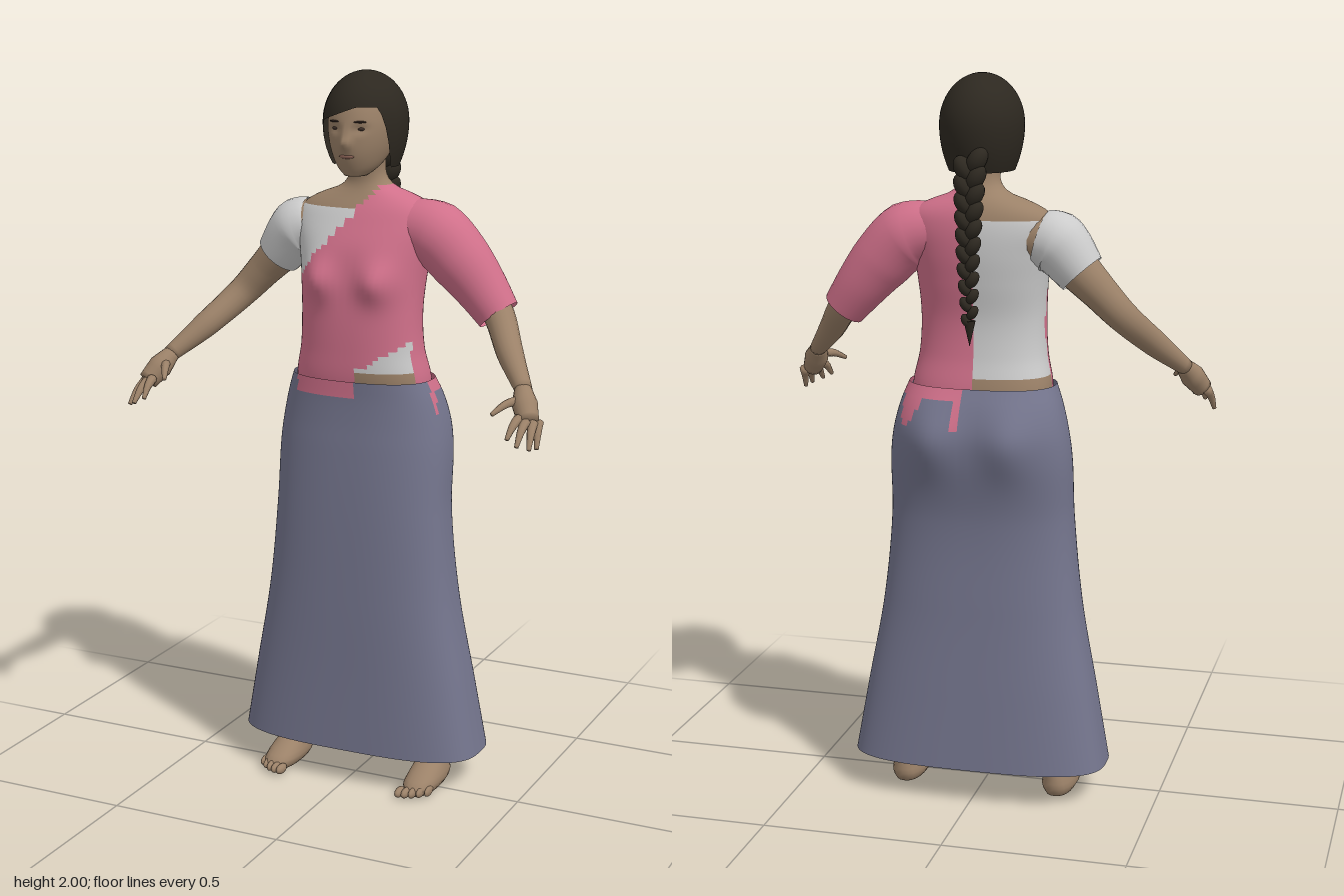
import * as THREE from 'three';

const V = (x, y, z) => new THREE.Vector3(x, y, z);
const mat = (color) => new THREE.MeshStandardMaterial({ color, side: THREE.DoubleSide });
const bell = (...d) => Math.exp(-d.reduce((s, v) => s + v * v, 0));

export function createModel() {
  const model = new THREE.Group();
  const skin = mat(0x9b8168), pink = mat(0xd0708a), pale = mat(0xcccccc);
  const cloth = mat(0x74758d), hairMat = mat(0x2d2820), dark = mat(0x3a2c26), lip = mat(0x8a6255);

  const add = (name, geo, material, parent = model) => {
    const mesh = new THREE.Mesh(geo, material);
    mesh.name = name;
    parent.add(mesh);
    return mesh;
  };
  const group = (name, parent = model) => {
    const g = new THREE.Group();
    g.name = name;
    parent.add(g);
    return g;
  };
  const ball = (name, p, sx, sy, sz, material, parent) => {
    const mesh = add(name, new THREE.SphereGeometry(1, 14, 10), material, parent);
    mesh.position.copy(p);
    mesh.scale.set(sx, sy, sz);
    return mesh;
  };

  // Skin closed rings into one smooth surface; pick(centre) sorts the quads by material
  const surface = (name, rings, pick, names = {}, cap = false, parent = model) => {
    if (cap) {
      const mid = (r) => r.map(() => r.reduce((s, p) => s.add(p), V(0, 0, 0)).divideScalar(r.length));
      rings = [mid(rings[0]), ...rings, mid(rings[rings.length - 1])];
    }
    const n = rings[0].length, all = [], sets = new Map();
    for (let j = 0; j < rings.length - 1; j++) for (let i = 0; i < n; i++) {
      const k = (i + 1) % n, a = j * n + i, b = j * n + k, c = a + n, d = b + n;
      const centre = V(0, 0, 0);
      [rings[j][i], rings[j][k], rings[j + 1][i], rings[j + 1][k]].forEach((p) => centre.addScaledVector(p, 0.25));
      const m = typeof pick === 'function' ? pick(centre) : pick;
      if (!sets.has(m)) sets.set(m, []);
      sets.get(m).push(a, b, d, a, d, c);
      all.push(a, b, d, a, d, c);
    }
    const geo = new THREE.BufferGeometry().setFromPoints(rings.flat());
    geo.setIndex(all);
    geo.computeVertexNormals();
    for (const [m, index] of sets) {
      const part = new THREE.BufferGeometry();
      part.setAttribute('position', geo.attributes.position);
      part.setAttribute('normal', geo.attributes.normal);
      part.setIndex(index);
      add(names[m.uuid] || name, part, m, parent);
    }
  };

  // Rings through rows of [y, half width, front z, back z, roundness, centre x]
  const loft = (rows, steps, sides, warp = (p) => p) => {
    const curve = new THREE.CubicInterpolant(rows.map((r) => r[0]), rows.flatMap((r) => r.slice(1)), 5);
    const y0 = rows[0][0], y1 = rows[rows.length - 1][0];
    return Array.from({ length: steps + 1 }, (_, j) => {
      const y = y0 + (y1 - y0) * j / steps;
      const [w, f, b, e, cx] = curve.evaluate(Math.min(y, y1 - 1e-6));
      return Array.from({ length: sides }, (_, i) => {
        const a = i / sides * Math.PI * 2, s = Math.sin(a), c = Math.cos(a);
        const pw = (v) => Math.sign(v) * Math.abs(v) ** (2 / e);
        return warp(V(cx + w * pw(s), y, (f + b) / 2 + (f - b) / 2 * pw(c)));
      });
    });
  };

  // Tapered tube through points [x, y, z, radius]
  const limb = (pts, side, steps = 24, sides = 18) => {
    const curve = new THREE.CatmullRomCurve3(pts.map((p) => V(p[0] * side, p[1], p[2])));
    const frames = curve.computeFrenetFrames(steps);
    return Array.from({ length: steps + 1 }, (_, j) => {
      const t = curve.getUtoTmapping(j / steps) * (pts.length - 1);
      const k = Math.min(Math.floor(t), pts.length - 2);
      const r = THREE.MathUtils.lerp(pts[k][3], pts[k + 1][3], t - k), o = curve.getPointAt(j / steps);
      return Array.from({ length: sides }, (_, i) => {
        const a = i / sides * Math.PI * 2;
        return o.clone().addScaledVector(frames.normals[j], r * Math.cos(a))
          .addScaledVector(frames.binormals[j], r * Math.sin(a));
      });
    });
  };

  // Long skirt, with the draped cloth's ragged end lying over the hip
  const skirtRows = [
    [0.1, 0.36, 0.093, -0.228, 3, 0], [0.3, 0.325, 0.09, -0.215, 2.8, 0], [0.55, 0.28, 0.088, -0.2, 2.6, 0],
    [0.8, 0.255, 0.083, -0.195, 2.5, 0], [0.98, 0.25, 0.075, -0.222, 2.4, 0], [1.05, 0.24, 0.07, -0.222, 2.4, 0],
    [1.12, 0.222, 0.068, -0.203, 2.4, 0], [1.17, 0.203, 0.07, -0.18, 2.4, 0]];
  surface('skirt', loft(skirtRows, 70, 80, (p) => {
    if (p.z < -0.07) p.z -= 0.028 * bell((Math.abs(p.x) - 0.11) / 0.07, (p.y - 1.03) / 0.09);
    return p;
  }), (p) => {
    const a = Math.atan2(p.x, p.z);
    if (p.x > 0.02 && p.z < -0.03 && p.y > 1.145 - 0.09 * Math.max(0, Math.sin(a * 9 - 0.6))) return pink;
    return p.z > 0 && p.x > -0.16 && p.x < 0.03 && p.y > 1.125 ? pink : cloth;
  }, { [pink.uuid]: 'drapeEnd' });

  // Torso and neck: blouse under a diagonal drape, with bare shoulder and waist
  const torsoRows = [
    [1.1, 0.19, 0.05, -0.18, 2.4, 0], [1.17, 0.192, 0.066, -0.175, 2.4, 0], [1.25, 0.177, 0.07, -0.16, 2.3, 0],
    [1.35, 0.172, 0.07, -0.155, 2.3, 0], [1.45, 0.178, 0.062, -0.17, 2.3, 0], [1.53, 0.19, 0.05, -0.18, 2.3, 0],
    [1.6, 0.205, 0.02, -0.18, 2.2, 0], [1.64, 0.185, 0, -0.172, 2.2, 0], [1.665, 0.14, -0.015, -0.16, 2.1, 0],
    [1.685, 0.085, -0.025, -0.145, 2, 0], [1.705, 0.06, -0.03, -0.13, 2, 0], [1.78, 0.052, -0.015, -0.12, 2, 0]];
  surface('torsoSkin', loft(torsoRows, 56, 64, (p) => {
    if (p.z > -0.02) p.z += 0.035 * bell((Math.abs(p.x) - 0.088) / 0.05, (p.y - 1.445) / 0.055);
    return p;
  }), ({ x, y, z }) => {
    if (y > 1.695) return skin;
    if (z < -0.05) {
      if (x > 0.01) return pink;
      return y > 1.625 || y < 1.2 ? skin : pale;
    }
    if (z > 0 && x > 0.03 && y < 1.29) {
      if (y < 1.2) return skin;
      if (y < 1.2 + (x - 0.03) * 0.6) return pale;
    }
    if (y < 1.43 || x > -0.17 + (y - 1.43) * 0.85) return pink;
    return y > 1.63 ? skin : pale;
  }, { [pink.uuid]: 'drape', [pale.uuid]: 'blouse' });

  // Arms, hands, legs and feet on both sides
  const armPts = [
    [0.12, 1.575, -0.085, 0.068], [0.2, 1.56, -0.085, 0.077], [0.27, 1.49, -0.09, 0.058], [0.33, 1.43, -0.09, 0.049],
    [0.385, 1.37, -0.075, 0.043], [0.46, 1.28, 0.02, 0.036], [0.53, 1.205, 0.1, 0.023]];
  const fingers = {
    littleFinger: [[0.587, 1.135, 0.14], [0.6, 1.075, 0.187]], ringFinger: [[0.578, 1.135, 0.158], [0.592, 1.08, 0.222]],
    middleFinger: [[0.563, 1.14, 0.172], [0.566, 1.09, 0.243]], indexFinger: [[0.546, 1.148, 0.175], [0.537, 1.105, 0.237]],
    thumb: [[0.53, 1.185, 0.125], [0.485, 1.16, 0.212]] };
  const legRows = [
    [0, 0.04, 0.095, -0.11, 2.4, 0.22], [0.02, 0.05, 0.105, -0.122, 2.4, 0.22], [0.045, 0.045, 0.07, -0.122, 2.2, 0.22],
    [0.075, 0.036, 0, -0.118, 2, 0.217], [0.11, 0.031, -0.04, -0.115, 2, 0.213], [0.2, 0.036, -0.035, -0.125, 2, 0.205],
    [0.4, 0.055, -0.01, -0.14, 2, 0.18], [0.8, 0.08, 0.04, -0.13, 2, 0.12]];
  for (const side of [1, -1]) {
    const tag = side > 0 ? 'left' : 'right';
    const arm = group(tag + 'Arm');
    surface('arm', limb(armPts, side, 36), skin, {}, true, arm);
    const palm = [[0.525, 1.21, 0.095, 0.022], [0.545, 1.175, 0.13, 0.034], [0.568, 1.137, 0.162, 0.028]];
    surface('palm', limb(palm, side, 8), skin, {}, true, arm);
    for (const [name, [a, b]] of Object.entries(fingers)) {
      const mid = a.map((v, i) => (v + b[i]) / 2 + (i === 1 ? 0.008 : 0));
      surface(name, limb([[...a, 0.014], [...mid, 0.011], [...b, 0.006]], side, 6, 8), skin, {}, true, arm);
    }
    const leg = group(tag + 'Leg');
    surface('legAndFoot', loft(legRows.map((r) => [...r.slice(0, 5), r[5] * side]), 64, 24), skin, {}, true, leg);
    for (let i = 0; i < 5; i++) {
      ball('toe', V(side * (0.187 + i * 0.018), 0.014, 0.108 - i * i * 0.0025), 0.012 - i * 0.001, 0.014, 0.026, skin, leg);
    }
  }

  // Sleeves: a long loose one under the drape, a short one on the other arm
  surface('longSleeve', limb([[0.11, 1.585, -0.085, 0.075], [0.2, 1.565, -0.085, 0.092], [0.275, 1.495, -0.088, 0.085],
    [0.33, 1.43, -0.09, 0.073], [0.385, 1.36, -0.085, 0.06]], 1, 24, 24), pink);
  surface('shortSleeve', limb([[0.165, 1.57, -0.085, 0.076], [0.21, 1.557, -0.085, 0.087], [0.28, 1.48, -0.09, 0.066]],
    -1, 14, 24), pale);

  // Head and face
  const head = group('head');
  const headRows = [
    [1.725, 0.03, 0.035, -0.04, 2, 0], [1.745, 0.052, 0.047, -0.08, 2, 0], [1.78, 0.072, 0.06, -0.13, 2.1, 0],
    [1.83, 0.085, 0.064, -0.15, 2.2, 0], [1.88, 0.088, 0.062, -0.155, 2.1, 0], [1.93, 0.08, 0.045, -0.15, 2, 0],
    [1.97, 0.05, 0.01, -0.11, 2, 0]];
  surface('face', loft(headRows, 40, 56, (p) => {
    if (p.z > 0) {
      p.z += 0.02 * bell(p.x / 0.014, (p.y - 1.815) / 0.018) + 0.008 * bell(p.x / 0.011, (p.y - 1.842) / 0.02);
      p.z -= 0.008 * bell((Math.abs(p.x) - 0.036) / 0.018, (p.y - 1.852) / 0.012);
    }
    return p;
  }), skin, {}, true, head);
  for (const side of [1, -1]) {
    ball('eye', V(side * 0.036, 1.853, 0.046), 0.011, 0.005, 0.007, dark, head);
    ball('eyebrow', V(side * 0.037, 1.872, 0.053), 0.018, 0.003, 0.005, dark, head).rotation.y = side * 0.35;
  }
  ball('lips', V(0, 1.78, 0.057), 0.022, 0.006, 0.006, lip, head);

  // Hair cap: its lower edge sweeps from a slanted fringe down to the nape
  const rings = Array.from({ length: 25 }, (_, j) => Array.from({ length: 64 }, (_, i) => {
    const az = (i / 64 * 2 - 1) * Math.PI, x = 0.112 * Math.sin(az);
    const s = THREE.MathUtils.smoothstep(Math.abs(az), 0.75, 1.35);
    const edge = THREE.MathUtils.lerp(1.9 + 0.35 * Math.min(x, 0.03), 1.745, s);
    const th = Math.max(0.001, (24 - j) / 24 * Math.acos((edge - 1.865) / 0.135)), c = Math.cos(th);
    const r = c > 0 ? Math.sin(th) : 1 - 0.28 * c * c;
    return V(x * r, 1.865 + 0.135 * c, -0.065 + 0.137 * Math.cos(az) * r);
  }));
  surface('hair', rings, hairMat, {}, false, head);

  // Braid of alternating strands down the back
  const braid = group('braid');
  const path = new THREE.CatmullRomCurve3([V(0, 1.78, -0.185), V(0, 1.68, -0.2), V(0, 1.5, -0.21), V(0, 1.36, -0.198)]);
  for (let i = 0; i < 20; i++) {
    const t = i / 19, w = 0.034 - 0.017 * t, side = i % 2 ? 1 : -1, p = path.getPointAt(t);
    p.x += side * w * 0.5;
    ball('strand', p, w * 0.75, w * 1.15, w * 0.9, hairMat, braid).rotation.z = side * -0.55;
  }
  const tuft = add('tuft', new THREE.ConeGeometry(0.016, 0.07, 10), hairMat, braid);
  tuft.position.set(0, 1.325, -0.197);
  tuft.rotation.x = Math.PI;
  return model;
}
